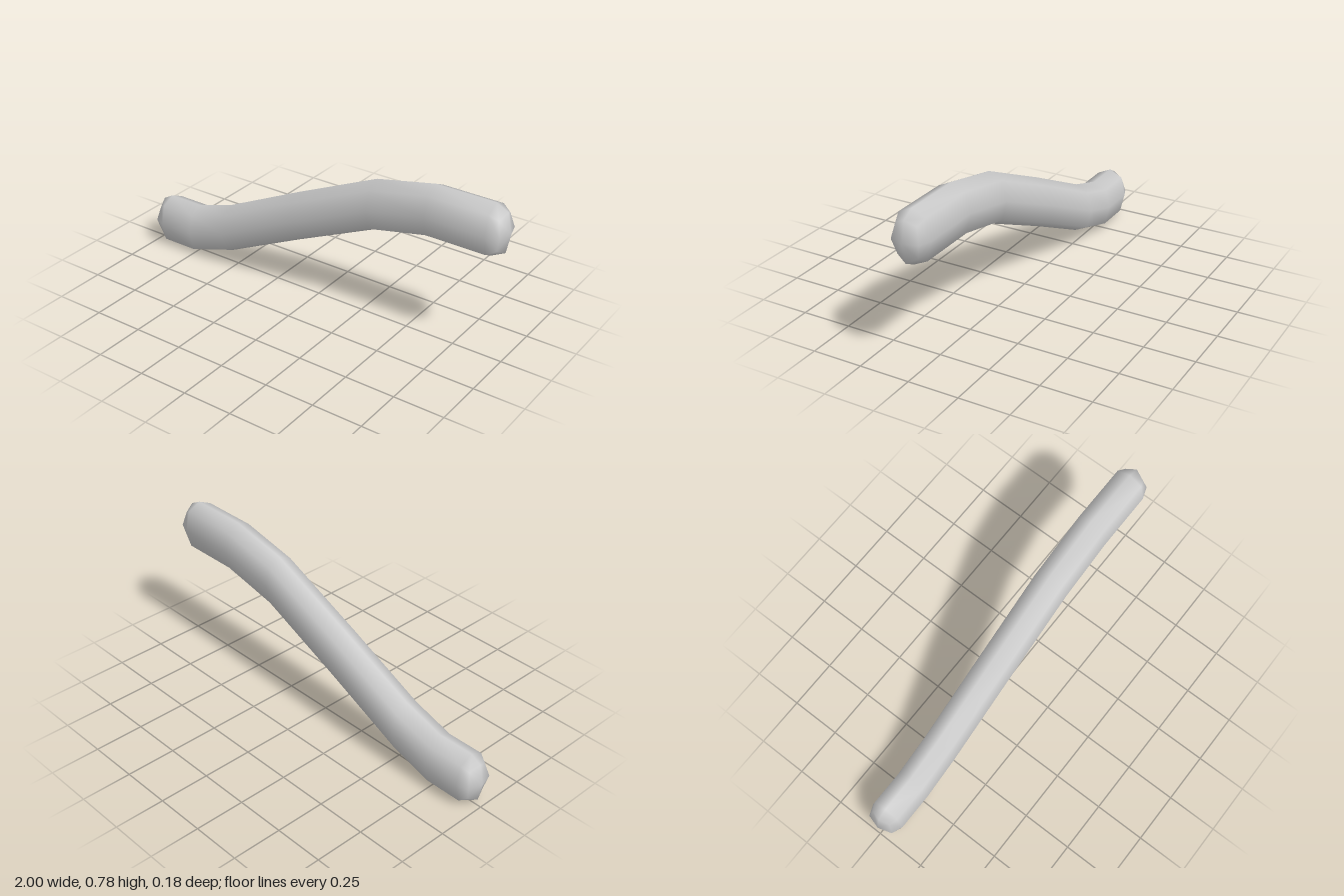
import * as THREE from 'three';

// Rounded eight-sided section as [y, z] factors
const SECTION = [[1, 0], [0.75, 0.75], [0, 1], [-0.75, 0.75], [-1, 0], [-0.75, -0.75], [0, -1], [0.75, -0.75]];
const RY = 0.129, RZ = 0.09;

// Upright sections along the bend: [x, centre y]
const PATH = [[-0.925, 0.132], [-0.74, 0.132], [-0.53, 0.198], [-0.12, 0.393], [0.32, 0.592], [0.62, 0.656], [0.92, 0.656]];

function barGeometry() {
  const positions = [], index = [], n = SECTION.length;

  const addRing = (x, y) => SECTION.forEach(([sy, sz]) => positions.push(x, y + sy * RY, sz * RZ));

  // Domed end ring: diagonal corners sit closer in and further back
  const addEndRing = (side, y) => SECTION.forEach(([sy, sz]) => {
    const corner = sy !== 0 && sz !== 0;
    const k = corner ? 0.75 : 0.76;
    positions.push(side * (corner ? 0.963 : 0.98), y + sy * k * RY, sz * k * RZ);
  });

  const yLow = PATH[0][1], yHigh = PATH[PATH.length - 1][1];
  addEndRing(-1, yLow);
  PATH.forEach(([x, y]) => addRing(x, y));
  addEndRing(1, yHigh);

  const rings = PATH.length + 2;
  const tipLow = rings * n, tipHigh = tipLow + 1;
  positions.push(-1, yLow, 0, 1, yHigh, 0);

  for (let j = 0; j < n; j++) {
    const k = (j + 1) % n, last = (rings - 1) * n;
    for (let i = 0; i < rings - 1; i++) {
      const a = i * n + j, b = i * n + k;
      index.push(a, b, b + n, a, b + n, a + n);
    }
    index.push(tipLow, k, j, tipHigh, last + j, last + k);
  }

  const geometry = new THREE.BufferGeometry();
  geometry.setAttribute('position', new THREE.Float32BufferAttribute(positions, 3));
  geometry.setIndex(index);
  geometry.computeVertexNormals();
  return geometry;
}

export function createModel() {
  const group = new THREE.Group();
  const bar = new THREE.Mesh(barGeometry(), new THREE.MeshStandardMaterial({ color: 0xcccccc }));
  bar.name = 'bentBar';
  group.add(bar);
  return group;
}
